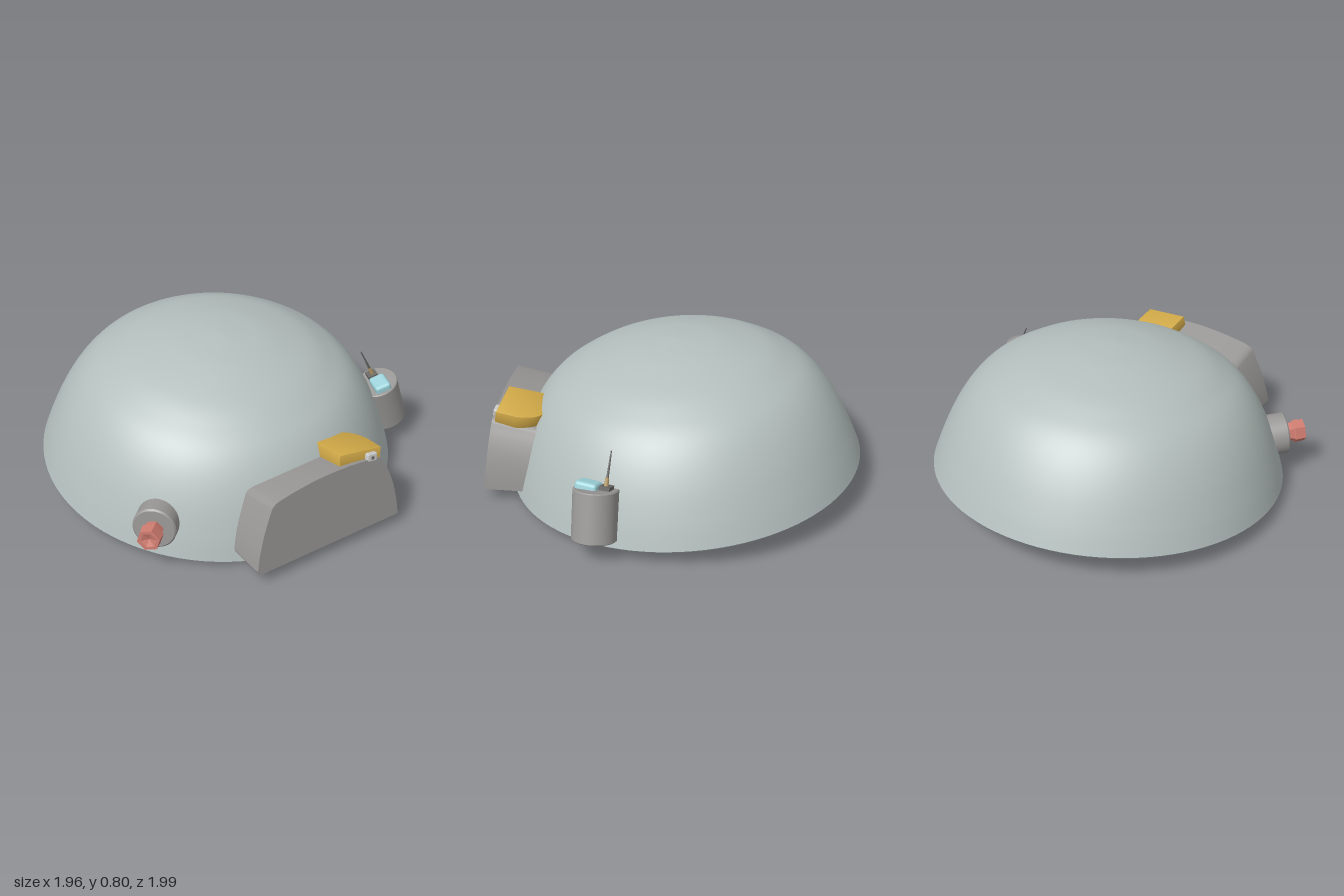
import * as THREE from 'three';
import { toCreasedNormals } from 'three/addons/utils/BufferGeometryUtils.js';
import { RoundedBoxGeometry } from 'three/addons/geometries/RoundedBoxGeometry.js';

const paint = (color, flatShading = false) => new THREE.MeshStandardMaterial({ color, flatShading });
const shell = paint(0xb4bfbd);
const grey = paint(0x9a9896);
const gold = paint(0xd2aa48);
const red = paint(0xcf7c70, true);
const cyan = paint(0x9fd4dc);
const pale = paint(0xcccccc);
const tan = paint(0xb59a6a);
const dark = paint(0x6a6866);

function add(parent, name, geometry, material, position = [0, 0, 0], rotation = [0, 0, 0]) {
  const mesh = new THREE.Mesh(geometry, material);
  mesh.name = name;
  mesh.position.set(...position);
  mesh.rotation.set(...rotation);
  parent.add(mesh);
  return mesh;
}

function addGroup(parent, name, position) {
  const group = new THREE.Group();
  group.name = name;
  group.position.set(...position);
  parent.add(group);
  return group;
}

// Thin rod between two points
function addRod(parent, name, from, to, r0, r1, material) {
  const a = new THREE.Vector3(...from), b = new THREE.Vector3(...to);
  const dir = b.clone().sub(a);
  const rod = add(parent, name, new THREE.CylinderGeometry(r1, r0, dir.length(), 10), material);
  rod.position.copy(a).add(b).multiplyScalar(0.5);
  rod.quaternion.setFromUnitVectors(new THREE.Vector3(0, 1, 0), dir.normalize());
}

// Tilted dome with a narrow bevelled rim and a closed flat base
function buildDome(parent) {
  const side = new THREE.SplineCurve([
    [0.945, 0.015], [0.904, 0.14], [0.842, 0.29], [0.77, 0.415], [0.69, 0.508],
    [0.595, 0.575], [0.47, 0.639], [0.27, 0.697], [0.12, 0.718], [0, 0.727],
  ].map(([r, y]) => new THREE.Vector2(r, y))).getPoints(48);
  side[side.length - 1].x = 0;
  const profile = [new THREE.Vector2(0, 0), new THREE.Vector2(0.93, 0), ...side];
  const geometry = toCreasedNormals(new THREE.LatheGeometry(profile, 96), 0.6);
  add(parent, 'dome', geometry, shell, [-0.04, 0.08, -0.055], [0.083, 0, 0]);
}

// Arched front panel: leans back and sinks slightly towards the dome
function buildPanel(parent) {
  const s = new THREE.Shape();
  s.moveTo(-0.41, 0);
  s.lineTo(0.45, 0);
  s.quadraticCurveTo(0.44, 0.21, 0.36, 0.35);
  s.quadraticCurveTo(0.35, 0.375, 0.32, 0.38);
  s.quadraticCurveTo(0.02, 0.43, -0.27, 0.37);
  s.quadraticCurveTo(-0.31, 0.36, -0.32, 0.335);
  s.quadraticCurveTo(-0.4, 0.16, -0.42, 0.02);
  s.closePath();
  const geometry = new THREE.ExtrudeGeometry(s, { depth: 0.33, bevelEnabled: false, curveSegments: 10 });
  geometry.translate(0, 0, -0.33);
  const p = geometry.attributes.position;
  for (let i = 0; i < p.count; i++) {
    const y = p.getY(i), z = p.getZ(i);
    p.setXYZ(i, p.getX(i), y * (1 + 0.6 * z), z - 0.12 * y);
  }
  add(parent, 'frontPanel', toCreasedNormals(geometry, 0.6), grey, [0, 0.07, 0.975], [0, 0.048, 0]);
}

// Gold plate with one rounded corner, and its small pale latch
function buildPlate(parent) {
  const s = new THREE.Shape();
  s.moveTo(-0.115, -0.1);
  s.lineTo(0.12, -0.1);
  s.lineTo(0.12, 0);
  s.quadraticCurveTo(0.11, 0.09, 0.055, 0.125);
  s.lineTo(-0.125, 0.1);
  s.closePath();
  const geometry = new THREE.ExtrudeGeometry(s, {
    depth: 0.07, bevelThickness: 0.005, bevelSize: 0.004, bevelSegments: 2, curveSegments: 12,
  });
  geometry.rotateX(-Math.PI / 2);
  const plate = addGroup(parent, 'goldPlate', [0.225, 0.415, 0.795]);
  plate.rotation.set(-0.17, 0, -0.12);
  add(plate, 'plate', toCreasedNormals(geometry, 0.5), gold);
  add(plate, 'latch', new RoundedBoxGeometry(0.06, 0.045, 0.04, 2, 0.008), pale, [0.062, 0.035, 0.107]);
  add(plate, 'latchPin', new THREE.CylinderGeometry(0.009, 0.009, 0.012, 16), dark,
    [0.062, 0.035, 0.125], [Math.PI / 2, 0, 0]);
}

// Round boss with a hexagonal red knob, pointing outwards
function buildKnob(parent) {
  const knob = addGroup(parent, 'sideKnob', [-0.765, 0.217, 0.58]);
  knob.quaternion.setFromUnitVectors(new THREE.Vector3(0, 1, 0), new THREE.Vector3(-0.69, 0.08, 0.72).normalize());
  const boss = new THREE.LatheGeometry([[0, -0.13], [0.112, -0.13], [0.112, -0.008], [0.104, 0], [0, 0]]
    .map(([r, y]) => new THREE.Vector2(r, y)), 48);
  add(knob, 'boss', toCreasedNormals(boss, 0.6), grey);
  const hex = new THREE.LatheGeometry([[0.05, -0.01], [0.052, 0.035], [0.064, 0.045], [0.06, 0.1], [0.042, 0.1], [0, 0.085]]
    .map(([r, y]) => new THREE.Vector2(r, y)), 6);
  add(knob, 'hexKnob', hex, red);
}

// Leaning canister with a blue block and a thin antenna on top
function buildCanister(parent) {
  const canister = addGroup(parent, 'sideCanister', [0, 0, 0]);
  const body = new THREE.LatheGeometry([[0, -0.131], [0.11, -0.131], [0.115, -0.126], [0.115, 0.126], [0.11, 0.131], [0, 0.131]]
    .map(([r, y]) => new THREE.Vector2(r, y)), 48);
  add(canister, 'canister', toCreasedNormals(body, 0.6), grey, [0.833, 0.238, 0.26], [0, 0, 0.29]);
  add(canister, 'blueBlock', new RoundedBoxGeometry(0.09, 0.06, 0.12, 3, 0.018), cyan,
    [0.795, 0.367, 0.298], [0, -0.25, 0.29]);
  add(canister, 'antennaBase', new THREE.BoxGeometry(0.055, 0.03, 0.055), dark, [0.805, 0.372, 0.205], [0, -0.25, 0.29]);
  addRod(canister, 'antennaSocket', [0.81, 0.37, 0.208], [0.785, 0.425, 0.204], 0.013, 0.009, tan);
  addRod(canister, 'antenna', [0.79, 0.415, 0.204], [0.727, 0.545, 0.193], 0.007, 0.003, dark);
}

export function createModel() {
  const model = new THREE.Group();
  model.name = 'domeDevice';
  buildDome(model);
  buildPanel(model);
  buildPlate(model);
  buildKnob(model);
  buildCanister(model);
  return model;
}
